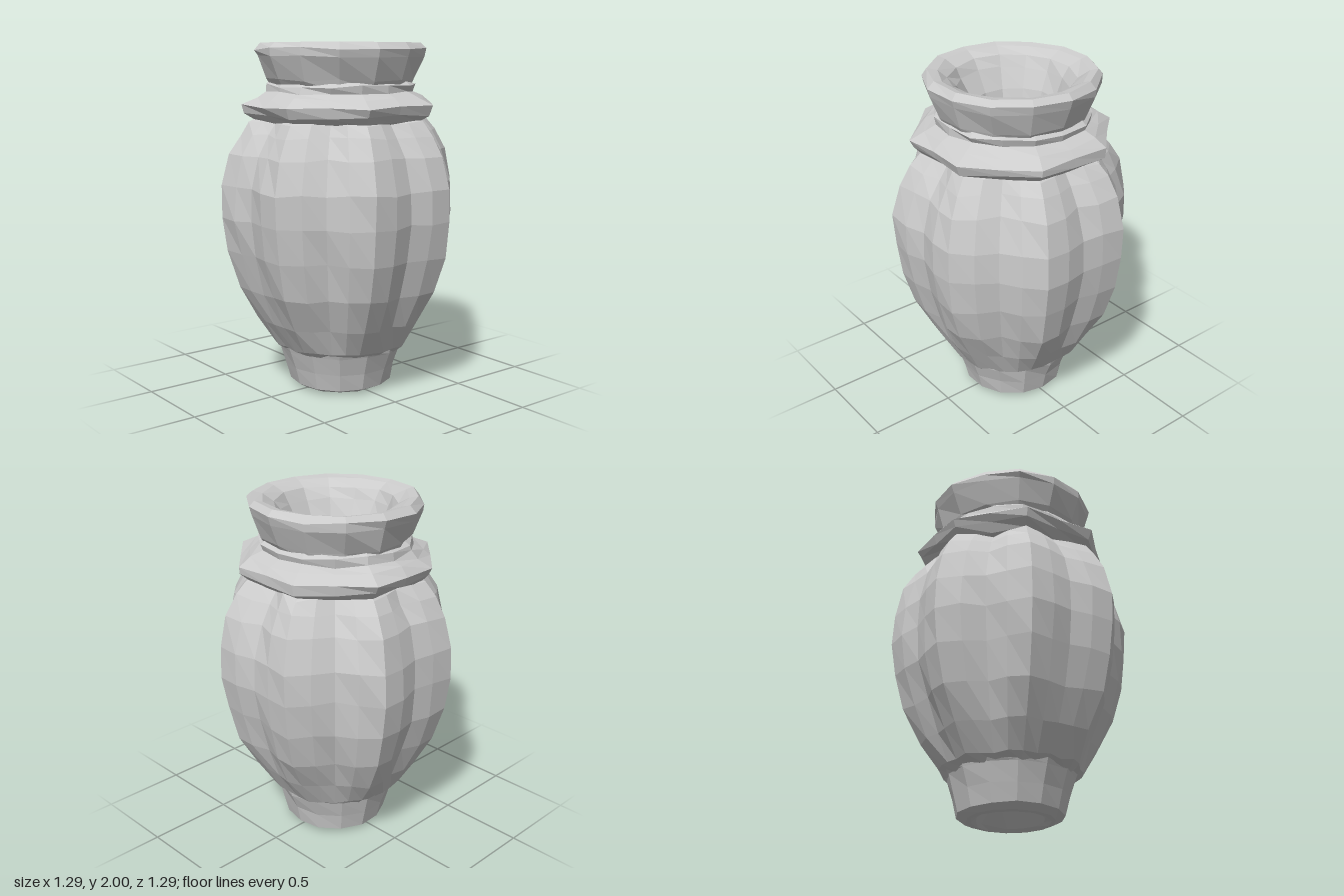
import * as THREE from 'three';

const material = new THREE.MeshStandardMaterial({ color: 0xcccccc, flatShading: true });

// Repeatable noise in -1..1 for the hand-made unevenness
function noise(a, b) {
  const s = Math.sin(a * 12.9898 + b * 78.233) * 43758.5453;
  return (s - Math.floor(s)) * 2 - 1;
}

// Lathe a [radius, y] profile, then reshape each vertex with a rule (radius, y, angle) => radius
function turned(name, profile, sides, rough, rule = (r) => r) {
  const points = profile.map(([r, y]) => new THREE.Vector2(r, y));
  const geometry = new THREE.LatheGeometry(points, sides);
  const pos = geometry.attributes.position;
  for (let i = 0; i <= sides; i++) {
    const k = i % sides;
    const angle = (k / sides) * Math.PI * 2;
    profile.forEach(([r, y], j) => {
      const onAxis = r === 0;
      const edge = y < 0.01 || y > 1.98;
      const radius = onAxis ? 0 : rule(r, y, angle) + rough * noise(k + 1, j + y);
      const height = y + (onAxis || edge ? 0 : rough * noise(k + 31, j + y * 3));
      pos.setXYZ(i * profile.length + j, Math.sin(angle) * radius, height, Math.cos(angle) * radius);
    });
  }
  const flat = geometry.toNonIndexed();
  flat.computeVertexNormals();
  const mesh = new THREE.Mesh(flat, material);
  mesh.name = name;
  return mesh;
}

// Eight rounded lobes between wide hollow grooves, shallow at the foot and deepest under the collar
function lobes(r, y, angle) {
  const groove = (1 + Math.cos(angle * 8)) / 2;
  const diagonal = Math.sin(angle * 2) ** 2;
  const foot = THREE.MathUtils.smoothstep(y, 0.22, 0.65);
  const shoulder = THREE.MathUtils.smoothstep(y, 1.2, 1.55);
  const depth = (0.115 + 0.025 * diagonal) * (0.25 + 0.75 * foot) + 0.04 * shoulder;
  return r * (1 - depth * groove);
}

// Collar pushed out over each lobe and drawn in over each groove
const scallops = (r, y, angle) => r * (1 - (y < 1.68 ? 0.04 : 0.01) * Math.cos(angle * 8));

export function createModel() {
  const vase = new THREE.Group();
  vase.name = 'flutedVase';

  // Foot with a conical hollow underneath
  vase.add(turned('foot', [
    [0, 0.13], [0.1, 0.09], [0.19, 0.015], [0.22, 0], [0.25, 0.003], [0.3, 0.03],
    [0.325, 0.13], [0.36, 0.235], [0.375, 0.27],
  ], 14, 0.005));

  // Swelling body with vertical lobes
  vase.add(turned('flutedBody', [
    [0.35, 0.235], [0.405, 0.27], [0.5, 0.42], [0.605, 0.61], [0.665, 0.82], [0.692, 1.02],
    [0.69, 1.2], [0.645, 1.38], [0.585, 1.49], [0.53, 1.56], [0.44, 1.6],
  ], 32, 0.009, lobes));

  // Overhanging scalloped collar
  vase.add(turned('collar', [
    [0.42, 1.54], [0.485, 1.56], [0.53, 1.6], [0.55, 1.65], [0.485, 1.69],
    [0.43, 1.72], [0.435, 1.76], [0.39, 1.79],
  ], 16, 0.011, scallops));

  // Flaring lip with a broad inner slope, a steep throat and a bowl inside
  vase.add(turned('lipAndMouth', [
    [0.4, 1.74], [0.425, 1.79], [0.48, 1.92], [0.49, 1.96], [0.455, 1.995], [0.41, 1.985], [0.345, 1.95],
    [0.31, 1.89], [0.255, 1.78], [0.235, 1.68], [0.25, 1.57], [0.16, 1.48], [0, 1.45],
  ], 14, 0.009));

  return vase;
}
